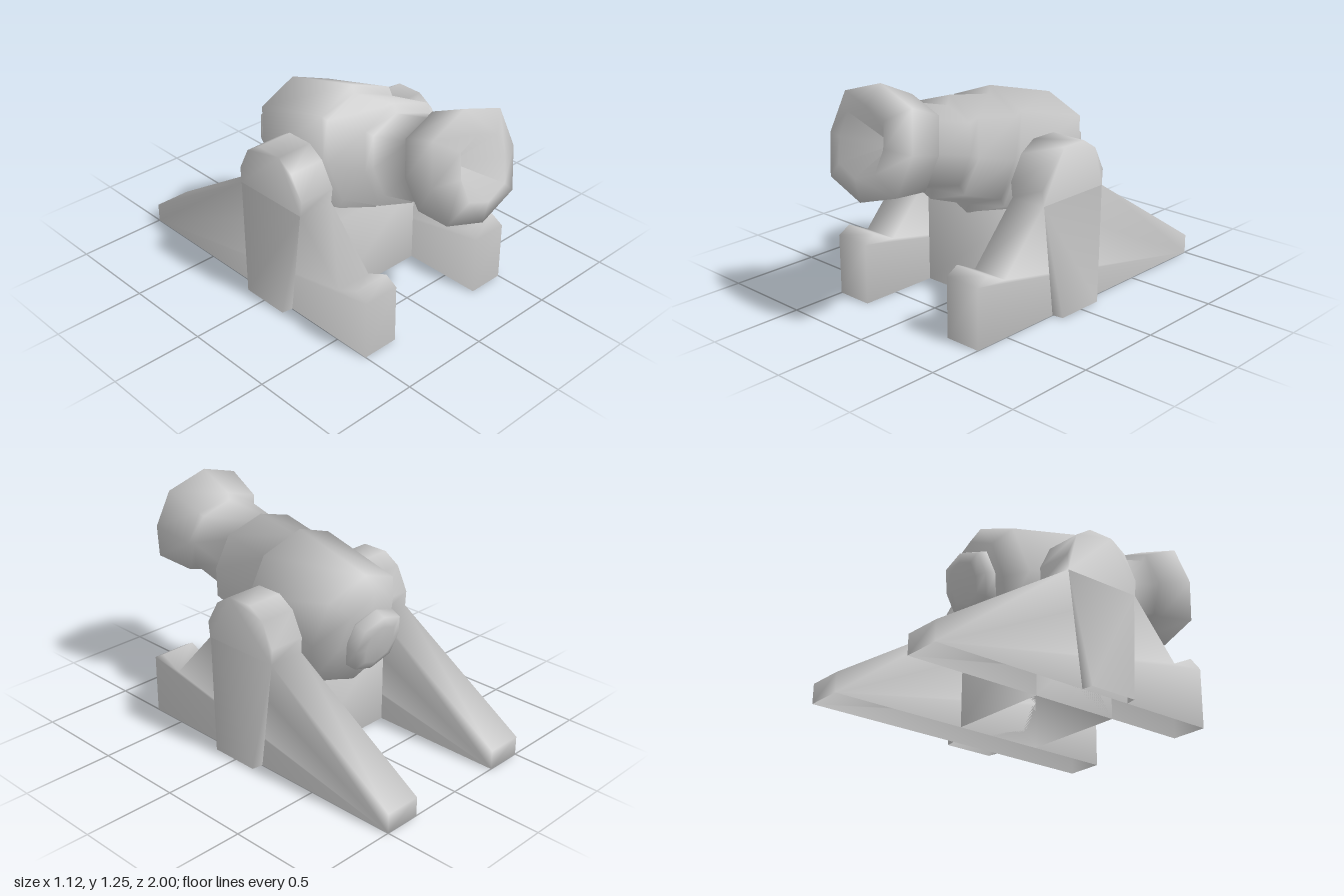
import * as THREE from 'three';
import { toCreasedNormals } from 'three/addons/utils/BufferGeometryUtils.js';

const material = new THREE.MeshStandardMaterial({ color: 0xcccccc, side: THREE.DoubleSide });
const CREASE = 1.7; // soft shading, even across right-angled edges

function addMesh(parent, name, geometry) {
  const mesh = new THREE.Mesh(geometry, material);
  mesh.name = name;
  parent.add(mesh);
  return mesh;
}

function smoothGeometry(pos, index) {
  const g = new THREE.BufferGeometry();
  g.setAttribute('position', new THREE.Float32BufferAttribute(pos, 3));
  if (index) g.setIndex(index);
  return toCreasedNormals(g, CREASE);
}

// Eight-sided skin over rings [z, halfWidth, halfHeight]; corners are slightly squared
function loft(rings) {
  const sides = 8, pos = [], index = [];
  for (const [z, rx, ry] of rings) {
    for (let i = 0; i < sides; i++) {
      const a = (i / sides) * Math.PI * 2;
      const diagonal = i % 2 === 1;
      pos.push(Math.sin(a) * rx * (diagonal ? 1.15 : 1), Math.cos(a) * ry * (diagonal ? 1.04 : 1), z);
    }
  }
  for (let r = 0; r < rings.length - 1; r++) {
    for (let i = 0; i < sides; i++) {
      const j = (i + 1) % sides;
      const a = r * sides + i, b = r * sides + j;
      if (rings[r][1] > 0) index.push(a, b, a + sides);
      if (rings[r + 1][1] > 0) index.push(b, b + sides, a + sides);
    }
  }
  return smoothGeometry(pos, index);
}

// Drop the faces lying on the ground so the shell is hollow underneath
function openBottom(geometry) {
  const src = geometry.index ? geometry.toNonIndexed() : geometry;
  const p = src.attributes.position, pos = [];
  for (let t = 0; t < p.count; t += 3) {
    if ([0, 1, 2].every(k => Math.abs(p.getY(t + k)) < 1e-4)) continue;
    for (let k = 0; k < 3; k++) pos.push(p.getX(t + k), p.getY(t + k), p.getZ(t + k));
  }
  return smoothGeometry(pos);
}

// Side cheek: (z, y) outline extruded across its thickness
function cheekGeometry() {
  const outline = [
    [0.70, 0], [0.70, 0.325], [0.63, 0.365], [0.505, 0.305], [0.235, 0.605],
    [0.245, 0.69], [0.17, 0.82], [0.08, 0.878], [-0.07, 0.878], [-0.16, 0.82],
    [-0.225, 0.69], [-0.22, 0.605], [-1, 0.105], [-1, 0],
  ];
  const shape = new THREE.Shape(outline.map(([z, y]) => new THREE.Vector2(-z, y)));
  const g = new THREE.ExtrudeGeometry(shape, { depth: 0.205, bevelEnabled: false });
  g.rotateY(Math.PI / 2); // shape x becomes -z, depth becomes +x
  g.translate(0.295, 0, 0);
  return openBottom(g);
}

// Wedge buttress flaring outward toward the ground
function buttressGeometry(side) {
  const pos = [
    0.5, 0.605, 0.23, 0.5, 0.605, -0.22,
    0.56, 0, 0.145, 0.56, 0, -0.13,
    0.5, 0, 0.155, 0.5, 0, -0.14,
  ].map((v, i) => (i % 3 === 0 ? v * side : v));
  const index = [0, 2, 3, 0, 3, 1, 0, 4, 2, 1, 3, 5];
  if (side < 0) index.reverse();
  return smoothGeometry(pos, index);
}

export function createModel() {
  const model = new THREE.Group();
  model.name = 'cannon';

  // Barrel, tilted so the muzzle points upward
  const barrel = new THREE.Group();
  barrel.name = 'barrel';
  barrel.position.y = 0.733;
  barrel.rotation.x = -0.265;
  model.add(barrel);

  addMesh(barrel, 'barrelBody', loft([
    [0.78, 0, 0],          // bottom of the bore
    [0.99, 0.155, 0.17],   // muzzle rim
    [0.93, 0.288, 0.286],  // muzzle swell
    [0.715, 0.245, 0.25],
    [0.705, 0.21, 0.212],  // neck
    [0.46, 0.21, 0.212],
    [0.46, 0.265, 0.264],  // middle band
    [0.176, 0.255, 0.29],
    [0.176, 0.29, 0.335],  // breech
    [-0.30, 0.29, 0.338],
    [-0.39, 0.19, 0.26],
    [-0.39, 0, 0],
  ]));

  const knob = addMesh(barrel, 'breechKnob', loft([
    [-0.38, 0.12, 0.13],
    [-0.415, 0.165, 0.17],
    [-0.475, 0.16, 0.16],
    [-0.49, 0.10, 0.11],
    [-0.49, 0, 0],
  ]));
  knob.position.y = 0.03;

  // Carriage: two hollow cheeks with buttresses, joined by a cross block
  const carriage = new THREE.Group();
  carriage.name = 'carriage';
  model.add(carriage);

  for (const [side, label] of [[1, 'left'], [-1, 'right']]) {
    const cheek = cheekGeometry();
    if (side < 0) cheek.translate(-0.795, 0, 0);
    addMesh(carriage, label + 'Cheek', cheek);
    addMesh(carriage, label + 'Buttress', buttressGeometry(side));
  }

  const block = new THREE.BoxGeometry(0.59, 0.48, 0.5);
  block.translate(0, 0.24, 0);
  addMesh(carriage, 'crossBlock', openBottom(block));

  return model;
}
